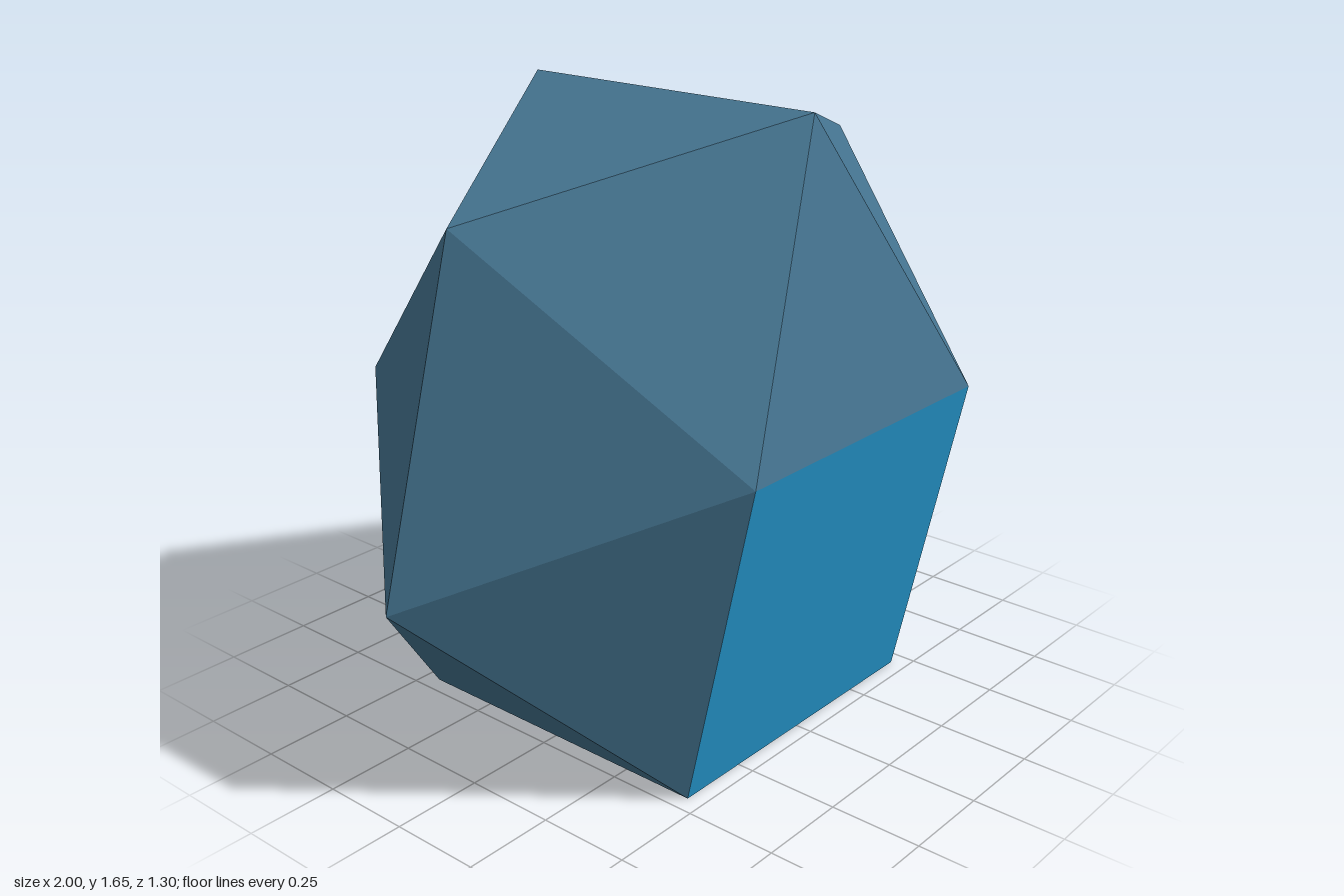
import * as THREE from 'three';

// One corner of each symmetric set; the rest follow by mirroring in x and z.
const h = 0.454;
const peak = [0, 1.648, h];
const shoulder = [0.759, 1.442, 0];
const waist = [h, 0.886, 0.648];
const side = [1, 0.568, 0];
const foot = [h, 0, h];

const flip = ([x, y, z], sx, sz) => [x * sx, y, z * sz];

// Mirrors a face; one mirror turns it inside out, so the corner order is reversed.
function mirrored(face, sx, sz) {
  const points = face.map((p) => flip(p, sx, sz));
  return sx * sz < 0 ? points.reverse() : points;
}

// Builds a flat-shaded mesh from convex faces given as corner loops.
function facetMesh(name, faces, material) {
  const positions = [];
  for (const f of faces) {
    for (let i = 1; i < f.length - 1; i++) positions.push(...f[0], ...f[i], ...f[i + 1]);
  }
  const geometry = new THREE.BufferGeometry();
  geometry.setAttribute('position', new THREE.Float32BufferAttribute(positions, 3));
  geometry.computeVertexNormals();
  const mesh = new THREE.Mesh(geometry, material);
  mesh.name = name;
  return mesh;
}

export function createModel() {
  const slate = new THREE.MeshStandardMaterial({ color: 0x457490 });
  slate.name = 'slate blue';
  const bright = new THREE.MeshStandardMaterial({ color: 0x2596cc });
  bright.name = 'bright blue';

  const group = new THREE.Group();
  group.name = 'polyhedron';

  // Triangles found in all four quarters
  const quarter = [
    [peak, waist, shoulder],
    [waist, side, shoulder],
    [waist, foot, side],
  ];
  const triangles = [];
  for (const sx of [1, -1]) {
    for (const sz of [1, -1]) {
      for (const f of quarter) triangles.push(mirrored(f, sx, sz));
    }
  }

  // Roof and lower side triangles, left and right
  for (const sx of [1, -1]) {
    triangles.push(mirrored([peak, shoulder, flip(peak, 1, -1)], sx, 1));
    triangles.push(mirrored([foot, flip(foot, 1, -1), side], sx, 1));
  }

  // Triangles above the squares, and the squares themselves, front and back
  const upright = [flip(foot, -1, 1), foot, waist, flip(waist, -1, 1)];
  for (const sz of [1, -1]) {
    triangles.push(mirrored([flip(waist, -1, 1), waist, peak], 1, sz));
    group.add(facetMesh(sz > 0 ? 'frontSquare' : 'backSquare', [mirrored(upright, 1, sz)], bright));
  }

  // Base square
  const base = [flip(foot, -1, 1), flip(foot, -1, -1), flip(foot, 1, -1), foot];
  group.add(facetMesh('baseSquare', [base], bright));
  group.add(facetMesh('triangleFacets', triangles, slate));
  return group;
}
